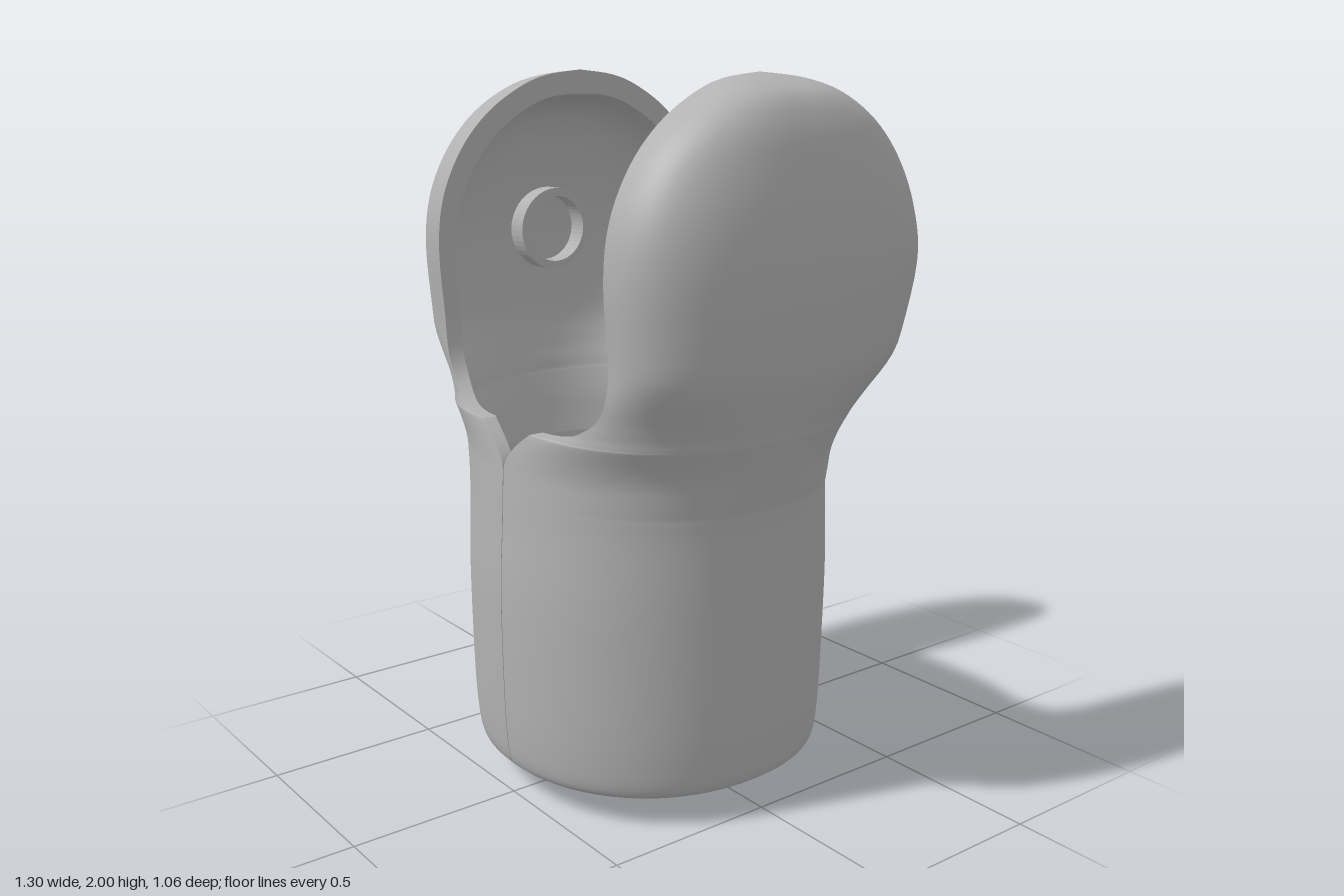
import * as THREE from 'three';
import { mergeGeometries } from 'three/addons/utils/BufferGeometryUtils.js';

const grey = new THREE.MeshStandardMaterial({ color: 0xb2b2b2 });
grey.name = 'plain grey';

// Shell cross-sections: height, front z, back z, side x, front edge x, back edge x
const SECTIONS = [
  [0.08, 0.49, -0.44, 0.475, 0, 0],
  [0.10, 0.505, -0.46, 0.495, 0, 0],
  [0.16, 0.515, -0.47, 0.505, 0, 0],
  [0.30, 0.522, -0.475, 0.513, 0, 0],
  [0.60, 0.525, -0.48, 0.52, 0, 0],
  [0.80, 0.515, -0.468, 0.525, 0, 0],
  [0.87, 0.512, -0.46, 0.53, 0, 0],
  [0.89, 0.511, -0.46, 0.533, 0, 0.22],
  [0.93, 0.509, -0.46, 0.543, 0, 0.31],
  [1.00, 0.505, -0.455, 0.56, 0, 0.37],
  [1.065, 0.497, -0.446, 0.58, 0, 0.39],
  [1.08, 0.49, -0.444, 0.585, 0.2, 0.395],
  [1.11, 0.473, -0.44, 0.592, 0.3, 0.398],
  [1.17, 0.452, -0.444, 0.61, 0.37, 0.4],
  [1.28, 0.443, -0.475, 0.635, 0.4, 0.4],
  [1.50, 0.457, -0.53, 0.65, 0.4, 0.4],
  [1.65, 0.438, -0.508, 0.645, 0.4, 0.4],
  [1.78, 0.377, -0.447, 0.627, 0.4, 0.4],
  [1.88, 0.288, -0.358, 0.603, 0.4, 0.4],
  [1.95, 0.18, -0.25, 0.56, 0.4, 0.4],
  [1.985, 0.085, -0.155, 0.48, 0.4, 0.4],
  [2.00, -0.035, -0.035, 0.4, 0.4, 0.4],
];
const STEPS = 5, COLS = 48;

// Smooth blend between neighbouring sections
function section(s) {
  const last = SECTIONS.length - 1;
  const i = Math.min(Math.floor(s), last - 1), t = s - i;
  const at = (k) => SECTIONS[Math.max(0, Math.min(last, k))];
  return at(i).map((b, c) => {
    const d = at(i + 1)[c];
    const m0 = (d - at(i - 1)[c]) / 2, m1 = (at(i + 2)[c] - b) / 2;
    const t2 = t * t, t3 = t2 * t;
    return (2 * t3 - 3 * t2 + 1) * b + (t3 - 2 * t2 + t) * m0 + (3 * t2 - 2 * t3) * d + (t3 - t2) * m1;
  });
}

// One horizontal row of points from the front edge round the side to the back edge
function shellRow(s, inner) {
  let [y, zf, zb, xm, xf, xb] = section(s);
  const ear = THREE.MathUtils.smoothstep(y, 0.95, 1.3);
  const power = 0.94 - 0.22 * ear;
  const zc = (zf + zb) / 2;
  const shrink = inner ? 0.93 - 0.04 * ear : 1;
  // The full section starts at x0; the opening cuts it off at the edge x
  const x0 = 0.4 * ear;
  if (inner) {
    xm = Math.max(x0, xm - 0.045 - 0.01 * ear);
    y -= 0.065 * Math.max(0, (y - 1.3) / 0.7);
  }
  const cutAngle = (xe) => {
    const f = (Math.min(0.4, Math.max(0.0015, xe)) - x0) / Math.max(1e-4, xm - x0);
    return Math.asin(Math.pow(THREE.MathUtils.clamp(f, 0, 0.99), 1 / power));
  };
  const start = cutAngle(xf), end = Math.PI - cutAngle(xb);
  const row = [];
  for (let j = 0; j <= COLS; j++) {
    const a = start + (j / COLS) * (end - start), c = Math.cos(a);
    row.push([
      x0 + (xm - x0) * Math.pow(Math.max(0, Math.sin(a)), power),
      y,
      zc + ((c > 0 ? zf : zb) - zc) * shrink * Math.pow(Math.abs(c), power),
    ]);
  }
  return row;
}

// Surface over a grid of points
function grid(rows, side, flip = false) {
  const n = rows[0].length, index = [];
  for (let i = 0; i < rows.length - 1; i++) {
    for (let j = 0; j < n - 1; j++) {
      const a = i * n + j, b = a + 1, c = a + n, d = c + 1;
      if (flip !== (side < 0)) index.push(a, c, b, b, c, d);
      else index.push(a, b, c, b, d, c);
    }
  }
  const points = rows.flat().flatMap(([x, y, z]) => [x * side, y, z]);
  const g = new THREE.BufferGeometry();
  g.setAttribute('position', new THREE.Float32BufferAttribute(points, 3));
  g.setIndex(index);
  g.computeVertexNormals();
  return g;
}

// Hollow half: outer skin, inner skin, edge faces and bottom lip
function halfShell(side) {
  const outer = [], inner = [];
  for (let k = 0; k <= (SECTIONS.length - 1) * STEPS; k++) {
    outer.push(shellRow(k / STEPS, false));
    inner.push(shellRow(k / STEPS, true));
  }
  return mergeGeometries([
    grid(outer, side),
    grid(inner, side, true),
    grid(outer.map((r, i) => [inner[i][0], r[0]]), side),
    grid(outer.map((r, i) => [r[COLS], inner[i][COLS]]), side),
    grid([inner[0], outer[0]], side),
  ]);
}

export function createModel() {
  const model = new THREE.Group();
  const add = (name, geometry, x = 0, y = 0, z = 0) => {
    const mesh = new THREE.Mesh(geometry, grey);
    mesh.name = name;
    mesh.position.set(x, y, z);
    model.add(mesh);
  };

  // Two forked half shells meeting at a fine seam
  add('leftHalfShell', halfShell(1));
  add('rightHalfShell', halfShell(-1));

  // Core drum inside the sleeve
  const drum = [[0, 0.03], [0.38, 0.03], [0.38, 0.14], [0.44, 0.14], [0.44, 0.81], [0, 0.81]];
  const drumParts = drum.slice(1).map((p, i) =>
    new THREE.LatheGeometry([drum[i], p].map(([r, y]) => new THREE.Vector2(r, y)), 64));
  add('coreDrum', mergeGeometries(drumParts), 0, 0, 0.02);

  // Pivot ring inside the right ear
  const ring = new THREE.Shape().absarc(0, 0, 0.125, 0, Math.PI * 2);
  ring.holes.push(new THREE.Path().absarc(0, 0, 0.1, 0, Math.PI * 2, true));
  const ringGeometry = new THREE.ExtrudeGeometry(ring, { depth: 0.08, bevelEnabled: false, curveSegments: 24 });
  add('pivotRing', ringGeometry.rotateY(Math.PI / 2), -0.61, 1.52, -0.03);

  // Flat-topped round block inside the left ear
  const cut = Math.asin(0.27 / 0.33);
  const pad = new THREE.Shape();
  pad.absarc(0, 0, 0.33, -cut, cut);
  pad.absarc(0, 0, 0.33, Math.PI - cut, Math.PI + cut);
  const padGeometry = new THREE.ExtrudeGeometry(pad, { depth: 0.08, bevelEnabled: false, curveSegments: 20 });
  add('pivotBlock', padGeometry.rotateY(Math.PI / 2), 0.5, 1.5, -0.03);

  // Curved tab hanging below the right wall
  const tab = new THREE.Shape();
  tab.absellipse(0, 0, 0.502, 0.5, Math.PI - 0.62, Math.PI + 0.62, false, 0);
  tab.absellipse(0, 0, 0.48, 0.475, Math.PI + 0.62, Math.PI - 0.62, true, 0);
  const tabGeometry = new THREE.ExtrudeGeometry(tab, {
    depth: 0.13, bevelEnabled: true, bevelSize: 0.006, bevelThickness: 0.008, bevelSegments: 2, curveSegments: 20,
  });
  add('lowerTab', tabGeometry.rotateX(-Math.PI / 2), 0, 0.008, 0.02);

  // Rounded latch bar with two pins on the right wall
  const bar = new THREE.Shape();
  bar.absarc(0.12, 0, 0.045, -Math.PI / 2, Math.PI / 2);
  bar.absarc(-0.12, 0, 0.045, Math.PI / 2, Math.PI * 1.5);
  const barGeometry = new THREE.ExtrudeGeometry(bar, {
    depth: 0.06, bevelEnabled: true, bevelSize: 0.012, bevelThickness: 0.01, bevelSegments: 3, curveSegments: 12,
  });
  add('latchBar', barGeometry.rotateY(-Math.PI / 2), -0.46, 0.22, 0.06);
  for (const z of [-0.06, 0.18]) {
    const pin = new THREE.CylinderGeometry(0.025, 0.025, 0.02, 20).rotateZ(Math.PI / 2);
    add('latchPin', pin, -0.531, 0.22, z);
  }
  return model;
}
